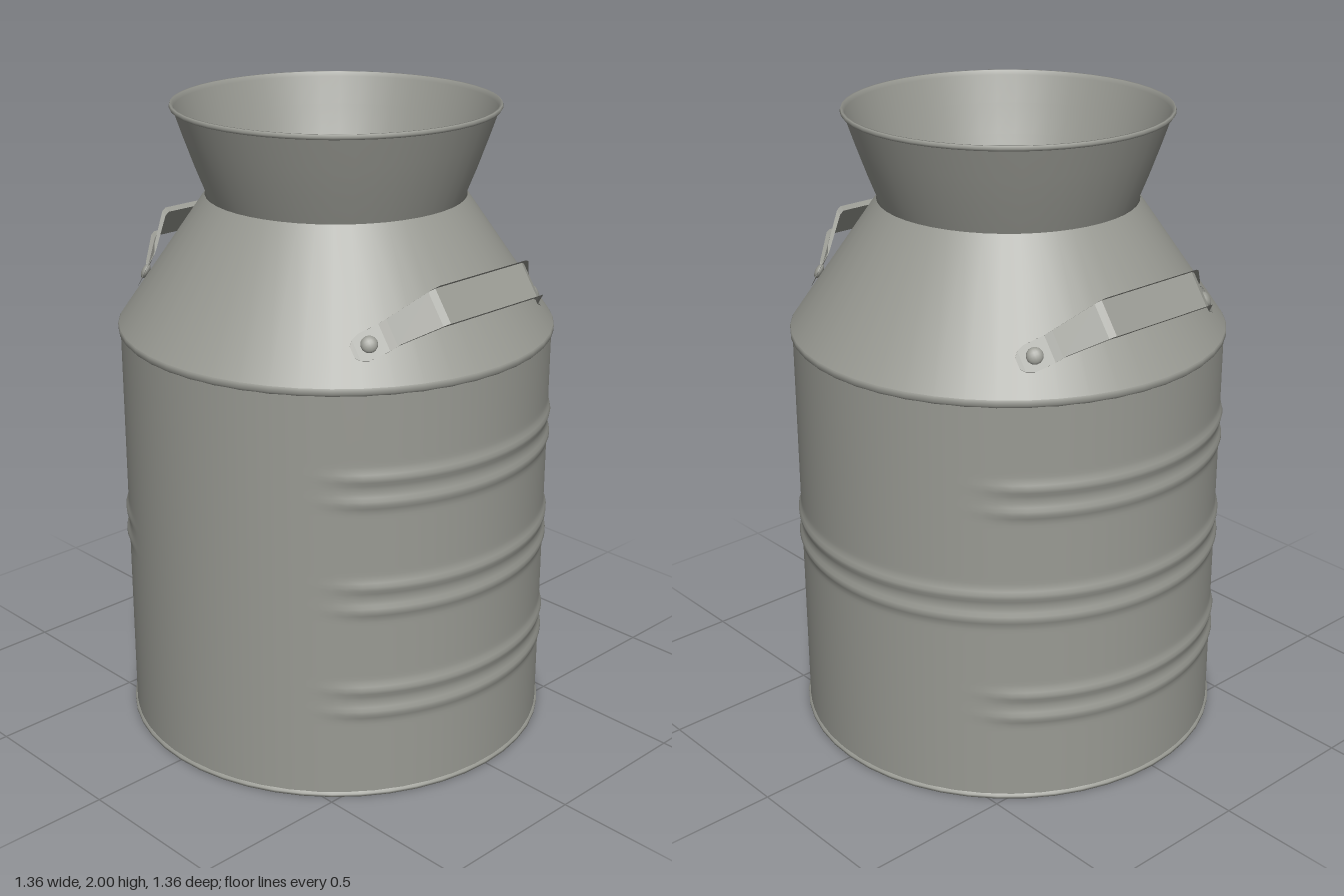
import * as THREE from 'three';
import { mergeVertices } from 'three/addons/utils/BufferGeometryUtils.js';

const SIDES = 48;
const metal = new THREE.MeshStandardMaterial({ color: 0x999a93, side: THREE.DoubleSide });
metal.name = 'dull grey metal';

function mesh(name, geometry) {
  const m = new THREE.Mesh(geometry, metal);
  m.name = name;
  return m;
}

function lathe(name, points, sides = SIDES) {
  return mesh(name, new THREE.LatheGeometry(points.map(([r, y]) => new THREE.Vector2(r, y)), sides));
}

// Pressed double ribs: height, middle angle and half spread in degrees (0 = +x, 90 = +z)
const RIBS = [
  [1.01, 0, 50], [1.01, 180, 52],
  [0.665, -99.5, 148],
  [0.325, 0, 50], [0.325, 180, 52],
];

function ribHeight(angle, y) {
  let h = 0;
  for (const [ry, mid, half] of RIBS) {
    const off = Math.abs(((angle - mid + 900) % 360) - 180);
    const fade = 1 - THREE.MathUtils.smoothstep(off, half - 14, half);
    for (const side of [-1, 1]) h += 0.009 * fade * Math.exp(-(((y - ry - side * 0.038) / 0.018) ** 2));
  }
  return h;
}

function bodyWall() {
  const points = [];
  for (let i = 0; i <= 110; i++) points.push(new THREE.Vector2(0.673, 0.01 + (1.3 * i) / 110));
  let g = new THREE.LatheGeometry(points, 96);
  const p = g.attributes.position;
  for (let i = 0; i < p.count; i++) {
    const x = p.getX(i), y = p.getY(i), z = p.getZ(i);
    const k = 1 + ribHeight(THREE.MathUtils.radToDeg(Math.atan2(z, x)), y) / 0.673;
    p.setXYZ(i, x * k, y, z * k);
  }
  g.deleteAttribute('uv');
  g.deleteAttribute('normal');
  g = mergeVertices(g, 1e-5);
  g.computeVertexNormals();
  return mesh('bodyWall', g);
}

// Handle strap in its own frame: along, outward, half width, lip height, sideways shift
const STRAP = [
  [0, 0.163, 0.056, 0.02, 0], [0.185, 0.163, 0.056, 0.02, 0], [0.205, 0.152, 0.054, 0.02, 0],
  [0.3, 0.052, 0.042, 0.015, -0.008], [0.318, 0.034, 0.042, 0.004, -0.012],
  [0.37, -0.004, 0.042, 0.001, -0.015], [0.388, -0.017, 0.033, 0.001, -0.015],
  [0.398, -0.025, 0.018, 0.001, -0.015],
];

function strapGeometry() {
  const rows = [...STRAP.slice(1).reverse().map(([s, ...rest]) => [-s, ...rest]), ...STRAP];
  const pos = [], index = [];
  rows.forEach(([s, n, hw, lip, w], i) => {
    pos.push(s, w - hw, n + lip, s, w - hw, n, s, w + hw, n, s, w + hw, n + lip);
    if (i === 0) return;
    for (let j = 0; j < 3; j++) {
      const a = (i - 1) * 4 + j, b = a + 4;
      index.push(a, b, b + 1, a, b + 1, a + 1);
    }
  });
  const g = new THREE.BufferGeometry();
  g.setAttribute('position', new THREE.Float32BufferAttribute(pos, 3));
  g.setIndex(index);
  const flat = g.toNonIndexed();
  flat.computeVertexNormals();
  return flat;
}

function handle(name, turn) {
  const frame = new THREE.Group();
  const out = new THREE.Vector3(0.82, 0.572, 0).normalize();
  const up = new THREE.Vector3(-out.y, out.x, 0);
  frame.applyMatrix4(new THREE.Matrix4().makeBasis(new THREE.Vector3(0, 0, -1), up, out).setPosition(0.49, 1.44, 0));
  frame.add(mesh('handleStrap', strapGeometry()));
  // Domed rivets at both feet
  for (const side of [-1, 1]) {
    const rivet = mesh('rivet', new THREE.SphereGeometry(0.025, 16, 10));
    rivet.scale.z = 0.5;
    rivet.position.set(side * 0.356, -0.013, 0.007);
    rivet.rotation.y = side * 0.63;
    frame.add(rivet);
  }
  const group = new THREE.Group();
  group.name = name;
  group.rotation.y = turn;
  group.add(frame);
  return group;
}

export function createModel() {
  const can = new THREE.Group();
  can.name = 'milkCan';
  can.add(bodyWall());
  // Rims at the foot and the shoulder seam
  can.add(lathe('footRim', [[0.668, 0.01], [0.668, 0], [0.68, 0], [0.68, 0.008], [0.673, 0.014]]));
  can.add(lathe('shoulderSeam', [[0.673, 1.3], [0.68, 1.308], [0.68, 1.322], [0.674, 1.328]]));
  const floor = mesh('floor', new THREE.CircleGeometry(0.673, SIDES));
  floor.rotation.x = Math.PI / 2;
  floor.position.y = 0.008;
  can.add(floor);
  // Sloping shoulder and flared mouth
  can.add(lathe('shoulder', [[0.678, 1.325], [0.402, 1.722]]));
  can.add(lathe('neck', [[0.394, 1.718], [0.428, 1.805], [0.462, 1.9], [0.493, 1.992]]));
  can.add(lathe('mouthRim', [[0.488, 1.985], [0.498, 1.985], [0.502, 1.992], [0.499, 2], [0.493, 2], [0.488, 1.985]]));
  can.add(handle('leftHandle', 0), handle('rightHandle', Math.PI));
  return can;
}
